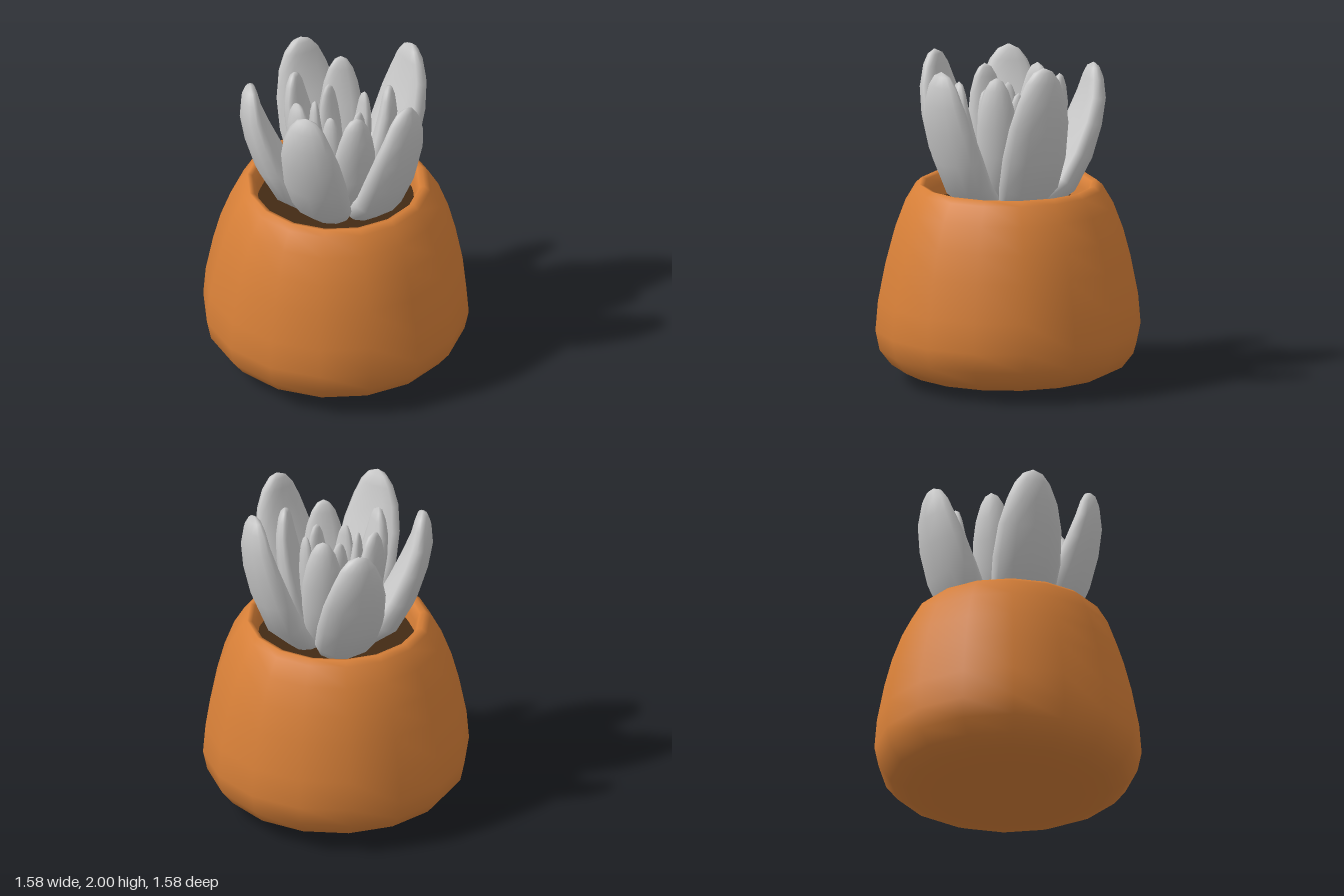
import * as THREE from 'three';
import { mergeVertices } from 'three/addons/utils/BufferGeometryUtils.js';

const CENTRE_X = 0.04;
const BASE_Y = 1.0;

// Petal outline: position along the petal, half width and half thickness (relative)
const SECTIONS = [
  [0, 0.2, 0.4], [0.15, 0.66, 0.85], [0.32, 0.93, 1], [0.5, 1, 0.98], [0.68, 0.93, 0.85],
  [0.82, 0.75, 0.7], [0.92, 0.53, 0.52], [0.975, 0.3, 0.32], [1, 0, 0],
];

// Fleshy petal lofted along a curve that leans out, then rises to the tip
function petalGeometry(reach, height, halfWidth, halfThick) {
  const path = new THREE.CatmullRomCurve3(
    [[0.08, 0], [0.58, 0.21], [0.84, 0.53], [0.97, 0.79], [0.98, 1]]
      .map(([r, h]) => new THREE.Vector3(0, h * height, r * reach)));
  const sides = 12;
  const positions = [];
  const index = [];
  SECTIONS.forEach(([t, w, d], i) => {
    const p = path.getPointAt(t);
    const tan = path.getTangentAt(t);
    for (let j = 0; j < sides; j++) {
      const a = (j / sides) * Math.PI * 2;
      const x = Math.cos(a) * w * halfWidth;
      // edges curl slightly towards the middle of the plant
      const n = Math.sin(a) * d * halfThick - 0.12 * w * halfWidth * Math.cos(a) ** 2;
      positions.push(p.x + x, p.y - tan.z * n, p.z + tan.y * n);
      if (i < SECTIONS.length - 1) {
        const k = i * sides + j;
        const k2 = i * sides + ((j + 1) % sides);
        index.push(k, k + sides, k2, k2, k + sides, k2 + sides);
      }
    }
  });
  let geo = new THREE.BufferGeometry();
  geo.setAttribute('position', new THREE.Float32BufferAttribute(positions, 3));
  geo.setIndex(index);
  geo = mergeVertices(geo);
  geo.computeVertexNormals();
  return geo;
}

export function createModel() {
  const model = new THREE.Group();
  model.name = 'pottedSucculent';

  const clay = new THREE.MeshStandardMaterial({ color: 0xd88038 });
  const earth = new THREE.MeshStandardMaterial({ color: 0x432a14 });
  const leaf = new THREE.MeshStandardMaterial({ color: 0xcccccc, side: THREE.DoubleSide });

  // Pot: rounded belly, narrowing to a soft rim that turns inside
  const profile = [
    [0, 0.005], [0.44, 0.03], [0.6, 0.06], [0.7, 0.11], [0.77, 0.2], [0.795, 0.32],
    [0.78, 0.5], [0.735, 0.73], [0.69, 0.9], [0.63, 1.06], [0.565, 1.17], [0.53, 1.2],
    [0.5, 1.19], [0.475, 1.13], [0.47, 1.0],
  ].map(([r, y]) => new THREE.Vector2(r, y));
  const pot = new THREE.Mesh(new THREE.LatheGeometry(profile, 16, -0.1), clay);
  pot.name = 'pot';
  model.add(pot);

  // Soil
  const soil = new THREE.Mesh(new THREE.CircleGeometry(0.475, 16), earth);
  soil.name = 'soil';
  soil.rotation.x = -Math.PI / 2;
  soil.position.y = 1.06;
  model.add(soil);

  // Three whorls of petals; each tip is x, z, top height
  const whorls = [
    { name: 'outerPetal', w: 0.21, d: 0.1, tips: [
      [-0.52, 0.08, 1.93], [-0.17, 0.48, 1.96], [0.43, 0.34, 1.95],
      [0.45, -0.29, 2.0], [-0.23, -0.49, 1.9]] },
    { name: 'middlePetal', w: 0.135, d: 0.075, tips: [
      [0.02, -0.32, 1.88], [-0.26, -0.14, 1.88], [-0.23, 0.18, 1.87],
      [0.13, 0.28, 1.83], [0.32, 0.02, 1.9]] },
    { name: 'innerPetal', w: 0.078, d: 0.05, tips: [
      [-0.05, -0.15, 1.79], [0.17, -0.09, 1.78], [0.14, 0.1, 1.76],
      [-0.03, 0.15, 1.75], [-0.13, 0.02, 1.78]] },
  ];
  for (const { name, w, d, tips } of whorls) {
    const whorl = new THREE.Group();
    whorl.name = name + 's';
    for (const [x, z, top] of tips) {
      const dx = x - CENTRE_X;
      const petal = new THREE.Mesh(petalGeometry(Math.hypot(dx, z), top - BASE_Y, w, d), leaf);
      petal.name = name;
      petal.position.set(CENTRE_X, BASE_Y, 0);
      petal.rotation.y = Math.atan2(dx, z);
      whorl.add(petal);
    }
    model.add(whorl);
  }
  return model;
}
